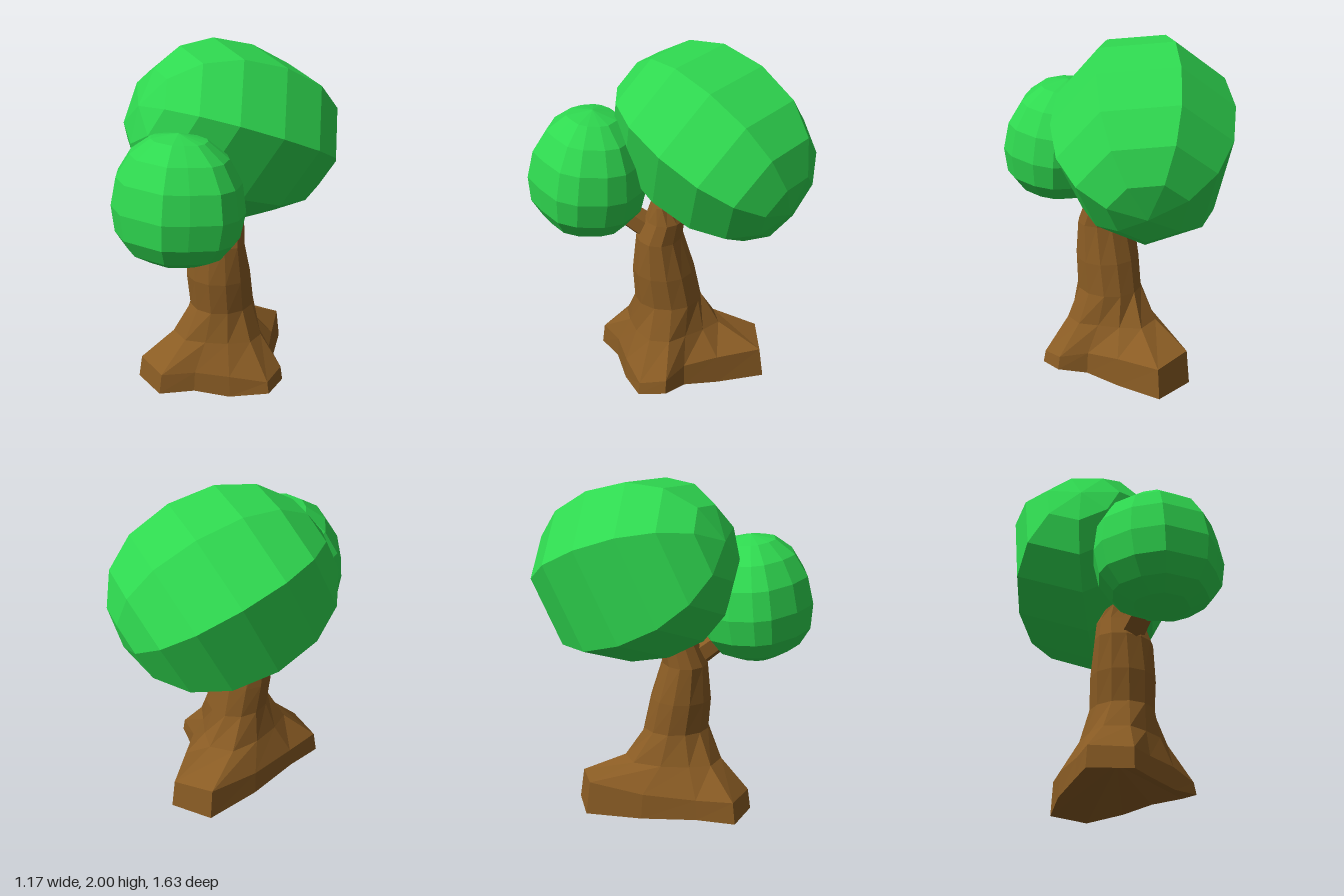
import * as THREE from 'three';

const leafGreen = new THREE.MeshStandardMaterial({ color: 0x2fd950, flatShading: true });
leafGreen.name = 'leafGreen';
const barkBrown = new THREE.MeshStandardMaterial({ color: 0x8a5c24, flatShading: true });
barkBrown.name = 'barkBrown';

// Skin over rings of equal point count; the first and last rings are single points repeated.
// Points run clockwise seen from the end of the axis.
function loft(name, rings, material) {
  const n = rings[0].length, end = rings.length - 2, idx = [];
  for (let j = 0; j <= end; j++) {
    for (let i = 0; i < n; i++) {
      const a = j * n + i, b = j * n + (i + 1) % n;
      if (j > 0) idx.push(a, a + n, b);
      if (j < end) idx.push(b, a + n, b + n);
    }
  }
  const geo = new THREE.BufferGeometry();
  geo.setAttribute('position', new THREE.Float32BufferAttribute(rings.flat(2), 3));
  geo.setIndex(idx);
  geo.computeVertexNormals();
  const mesh = new THREE.Mesh(geo, material);
  mesh.name = name;
  return mesh;
}

// Slightly boxy ellipsoid with a polygonal cross-section (in sideX, sideY) around an axis;
// sag slides the widest ring towards the start of the axis
function crown(name, centre, axis, sideX, sideY, sag, section) {
  const steps = 8, rings = [];
  for (let j = 0; j <= steps; j++) {
    const t = Math.PI * j / steps;
    const s = Math.abs(Math.sin(t)) ** 0.9;
    const c = -Math.sign(Math.cos(t)) * Math.abs(Math.cos(t)) ** 0.9 - sag * s * s;
    rings.push(section.map(([u, v]) =>
      centre.map((o, i) => o + c * axis[i] + s * (u * sideX[i] + v * sideY[i]))));
  }
  return loft(name, rings, leafGreen);
}

// Trunk lofted from a three-root footprint up to a narrow bent column
function trunk() {
  // x, z, shoulder height and ground height of each footprint corner
  const foot = [
    [0.46, 0.0, 0.13, 0.05], [0.45, 0.16, 0.1, 0.03], [0.24, 0.26, 0.13, 0], [0.04, 0.33, 0.14, 0.02],
    [-0.13, 0.445, 0.13, 0.01], [-0.35, 0.32, 0.14, 0.01], [-0.29, 0.1, 0.14, 0.02], [-0.22, -0.22, 0.16, 0.01],
    [-0.1, -0.54, 0.2, 0], [0.16, -0.57, 0.18, 0], [0.25, -0.3, 0.17, 0], [0.32, -0.1, 0.15, 0.02],
  ];
  // centre x, centre z, radius x, radius z, share of footprint, height of a corner
  const levels = [
    [0.05, 0.02, 0.19, 0.19, 1, (h, ground) => ground],
    [0.05, 0.02, 0.19, 0.19, 0.94, (h) => h],
    [0.05, 0.02, 0.19, 0.19, 0.31, () => 0.31],
    [0.055, 0.015, 0.187, 0.197, 0, () => 0.49],
    [0.047, 0.042, 0.193, 0.183, 0, () => 0.68],
    [0.04, 0.065, 0.18, 0.137, 0, () => 0.9],
    [0.045, 0.03, 0.155, 0.118, 0, () => 1.02],
    [0.05, 0.05, 0.12, 0.06, 0, () => 1.12],
  ];
  const rings = levels.map(([cx, cz, rx, rz, mix, height]) => foot.map(([fx, fz, h, ground], i) => {
    const t = (i * 30 - 10) * Math.PI / 180;
    return [
      THREE.MathUtils.lerp(cx + rx * Math.cos(t), fx, mix),
      height(h, ground),
      THREE.MathUtils.lerp(cz + rz * Math.sin(t), fz, mix),
    ];
  }));
  // hollow underside and closed top
  rings.unshift(foot.map(() => [0.03, 0.18, 0]));
  rings.push(foot.map(() => [0.05, 1.12, 0.05]));
  return loft('trunk', rings, barkBrown);
}

// Short branch holding the small crown
function branch() {
  const from = new THREE.Vector3(0.04, 0.92, 0.1), to = new THREE.Vector3(0.04, 1.08, 0.33);
  const dir = to.clone().sub(from);
  const mesh = new THREE.Mesh(new THREE.CylinderGeometry(0.07, 0.085, dir.length(), 6), barkBrown);
  mesh.position.copy(from).add(to).multiplyScalar(0.5);
  mesh.quaternion.setFromUnitVectors(new THREE.Vector3(0, 1, 0), dir.normalize());
  mesh.name = 'branch';
  return mesh;
}

export function createModel() {
  const tree = new THREE.Group();
  tree.name = 'tree';
  tree.add(
    trunk(),
    branch(),
    // long seven-sided crown, its axis falling towards the back
    crown('largeCrown', [0, 1.455, -0.2175], [0.355, -0.245, -0.46],
      [-0.82, 0, -0.574], [0.241, 0.906, -0.344], 0,
      [[-0.27, 0.485], [0.18, 0.52], [0.5, 0.23], [0.435, -0.34],
        [0.015, -0.525], [-0.36, -0.29], [-0.515, 0.13]]),
    // round crown in front, fuller below
    crown('smallCrown', [0.0225, 1.295, 0.47], [0, 0.365, -0.03], [1, 0, 0], [0, 0.1, 1], 0.13,
      [[0.388, 0.01], [0.36, 0.13], [0.23, 0.25], [0.11, 0.335], [-0.16, 0.31], [-0.3, 0.19],
        [-0.388, 0.03], [-0.383, -0.07], [-0.31, -0.2], [-0.17, -0.31], [0.08, -0.34],
        [0.28, -0.25], [0.35, -0.15]]),
  );
  return tree;
}
